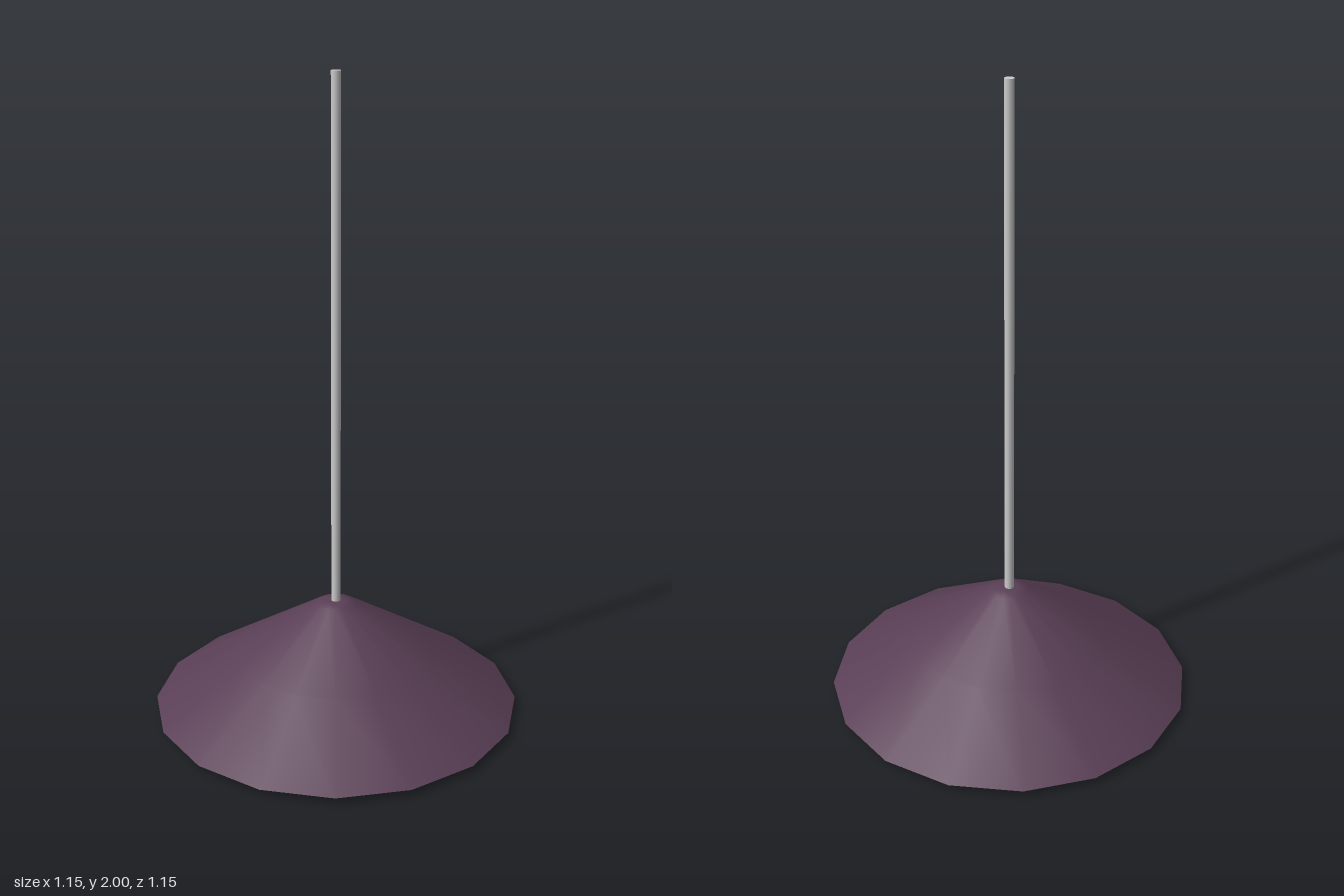
import * as THREE from 'three';

const purple = new THREE.MeshStandardMaterial({ color: 0x5a3f56 });
const grey = new THREE.MeshStandardMaterial({ color: 0xcccccc });

// Revolve a short [radius, height] profile; upward profiles face outward, downward ones inward.
function lathe(name, profile, sides, material) {
  const points = profile.map(([r, y]) => new THREE.Vector2(r, y));
  const mesh = new THREE.Mesh(new THREE.LatheGeometry(points, sides), material);
  mesh.name = name;
  return mesh;
}

export function createModel() {
  const model = new THREE.Group();
  model.name = 'pendantLamp';

  // Conical shade: outer skin, domed cap, rim and inner skin, with 16 sides
  const shade = new THREE.Group();
  shade.name = 'shade';
  const sides = 16;
  shade.add(
    lathe('shadeOuter', [[0.575, 0.02], [0.315, 0.19], [0.06, 0.357], [0.03, 0.364], [0, 0.365]], sides, purple),
    lathe('shadeRim', [[0.55, 0.015], [0.575, 0.02]], sides, purple),
    lathe('shadeInner', [[0, 0.345], [0.05, 0.342], [0.3, 0.18], [0.55, 0.015]], sides, purple),
  );
  model.add(shade);

  // Socket hanging under the cap
  const socket = new THREE.Mesh(new THREE.CylinderGeometry(0.055, 0.055, 0.14, 16), purple);
  socket.name = 'socket';
  socket.position.y = 0.28;
  model.add(socket);

  // Bulb: egg-shaped globe narrowing to a short neck
  const bulb = [
    [0, 0], [0.025, 0.005], [0.048, 0.02], [0.065, 0.044], [0.073, 0.075], [0.071, 0.105],
    [0.062, 0.138], [0.049, 0.168], [0.042, 0.185], [0.04, 0.23],
  ];
  model.add(lathe('bulb', bulb, 20, grey));

  // Long suspension rod
  const rod = new THREE.Mesh(new THREE.CylinderGeometry(0.015, 0.015, 1.65, 12), grey);
  rod.name = 'rod';
  rod.position.y = 1.175;
  model.add(rod);

  return model;
}
